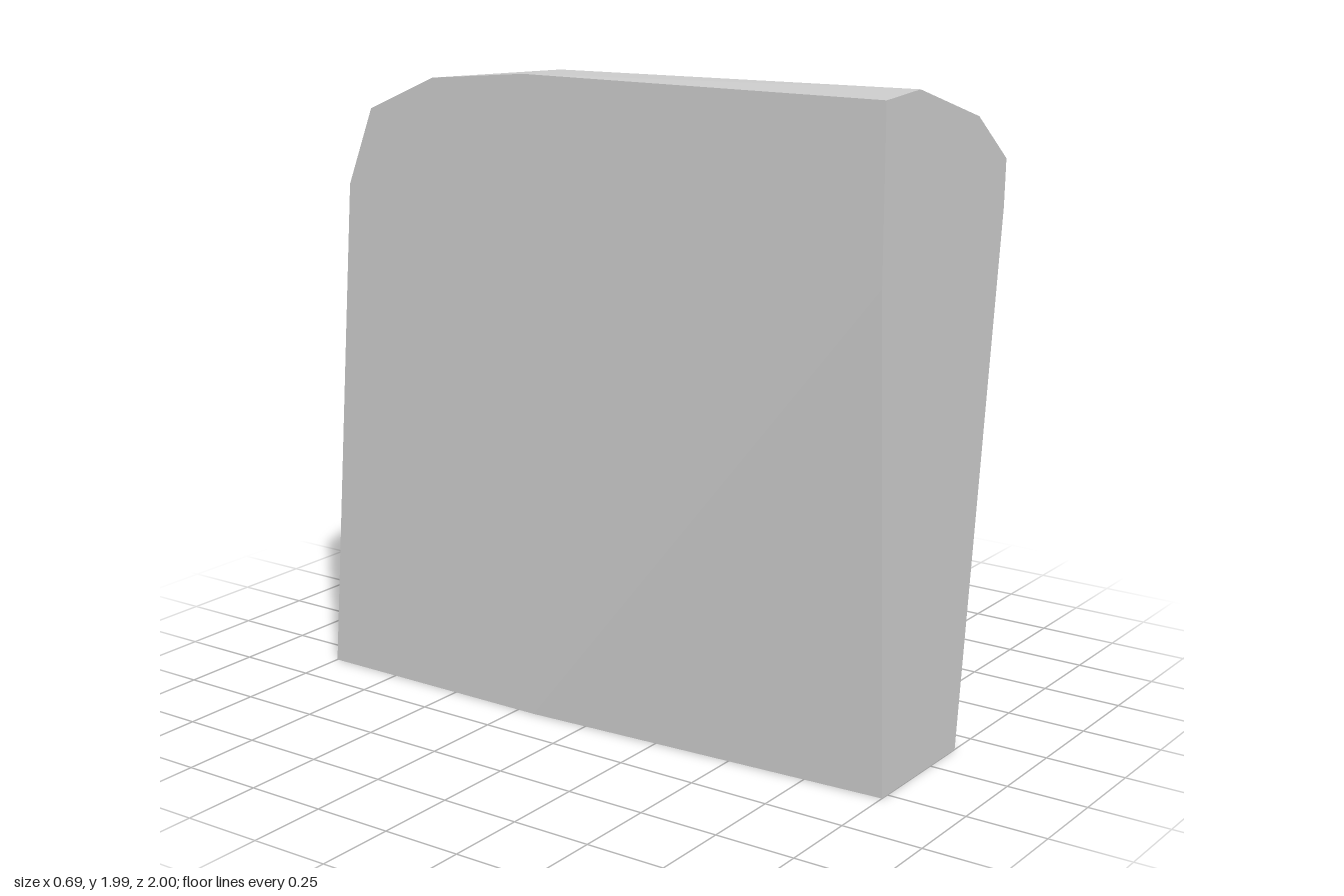
import * as THREE from 'three';
import { ConvexGeometry } from 'three/addons/geometries/ConvexGeometry.js';

export function createModel() {
  const group = new THREE.Group();
  group.name = 'taperedBlock';
  const grey = new THREE.MeshStandardMaterial({ color: 0xcccccc });
  grey.name = 'plainGrey';

  // Corners of the faceted block as [x, y, z]
  const corners = [
    // flat front end
    [-0.35, 1.98, 1], [-0.17, 1.99, 1], [0.17, 1.88, 1], [0.345, 1.74, 1],
    [0.34, 1.6, 1], [0.15, 0, 1], [-0.28, 0, 1], [-0.35, 1.48, 1],
    // crown, sloping down towards the back
    [-0.35, 1.965, -0.2], [-0.17, 1.96, -0.2], [0.07, 1.82, -0.2], [0.135, 1.57, -0.2],
    [-0.35, 1.93, -0.54], [-0.17, 1.9, -0.54],
    // rounded back shoulder
    [-0.35, 1.82, -0.785], [-0.17, 1.79, -0.76], [0, 1.74, -0.71],
    [-0.35, 1.58, -0.88], [-0.17, 1.61, -0.82],
    // base outline
    [-0.35, 0, -0.19], [-0.35, 0, -1], [-0.28, 0, -1], [-0.17, 0, -0.98],
    [0, 0, -0.88], [0.06, 0, -0.83], [0.115, 0, -0.6],
  ].map((p) => new THREE.Vector3(...p));

  // Flat-faceted solid wrapped around the corners
  const block = new THREE.Mesh(new ConvexGeometry(corners), grey);
  block.name = 'block';
  group.add(block);
  return group;
}
